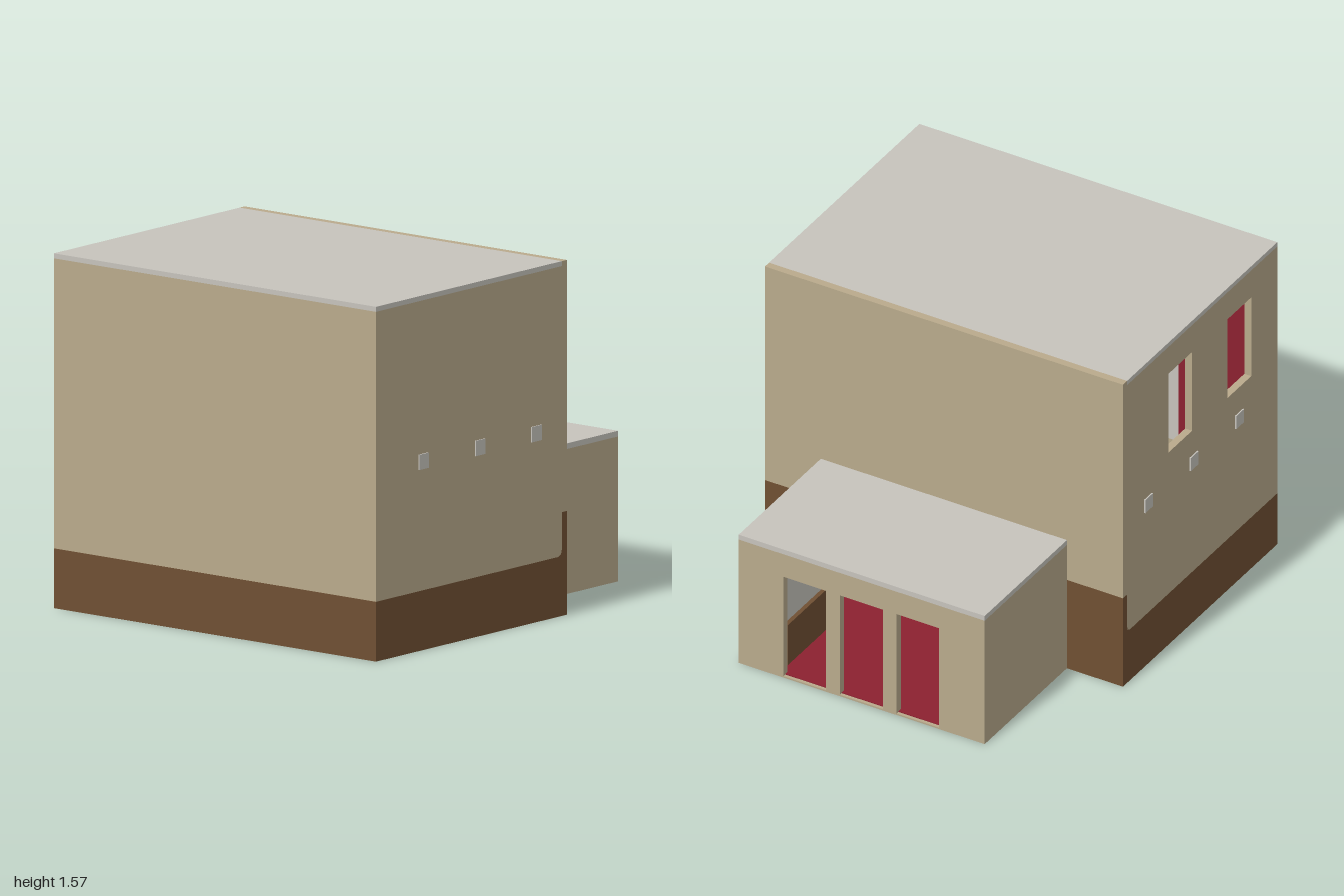
import * as THREE from 'three';

const mat = (name, color) => {
  const m = new THREE.MeshStandardMaterial({ color });
  m.name = name;
  return m;
};

export function createModel() {
  const root = new THREE.Group();
  root.name = 'theatreBuilding';
  const stucco = mat('tan stucco', 0xb9aa8c);
  const brown = mat('brown wood', 0x705033);
  const grey = mat('light grey', 0xc6c3bc);
  const red = mat('red fabric', 0x8c2130);
  const green = mat('green board', 0x3f7a48);

  const add = (name, geo, material) => {
    const m = new THREE.Mesh(geo, material);
    m.name = name;
    root.add(m);
    return m;
  };
  // box given by its two opposite corners
  const box = (name, material, x0, x1, y0, y1, z0, z1) => {
    const m = add(name, new THREE.BoxGeometry(x1 - x0, y1 - y0, z1 - z0), material);
    m.position.set((x0 + x1) / 2, (y0 + y1) / 2, (z0 + z1) / 2);
    return m;
  };
  const shape = pts => new THREE.Shape(pts.map(p => new THREE.Vector2(...p)));
  const W = 0.035, Z = 0.905, E = 0.27, R = 0.305;

  // front and back walls of the hall, with a painted brown base
  for (const s of [1, -1]) {
    const side = s > 0 ? 'front' : 'back';
    const z = s > 0 ? Z - W : -Z;
    const base = shape([[-1, 0], [E, 0], [E, 0.295], [0.264, 0.273], [0.245, 0.265], [-1, 0.265]]);
    const wall = shape([[-1, 0.265], [0.245, 0.265], [0.264, 0.273], [E, 0.295], [E, 1.55], [-1, 1.55]]);
    if (s < 0) {
      for (const x of [-0.28, -0.78]) {
        wall.holes.push(new THREE.Path([[x, 1], [x, 1.41], [x + 0.2, 1.41], [x + 0.2, 1]]
          .map(p => new THREE.Vector2(...p))));
      }
    }
    const opts = { depth: W, bevelEnabled: false };
    add(side + 'WallBase', new THREE.ExtrudeGeometry(base, opts), brown).position.z = z;
    add(side + 'Wall', new THREE.ExtrudeGeometry(wall, opts), stucco).position.z = z;
    // small square wall lights
    for (const x of [-0.677, -0.292, 0.093]) {
      box(side + 'WallLight', grey, x - 0.033, x + 0.033, 0.803, 0.871, s * Z - 0.006, s * Z + 0.006);
    }
  }

  // left and right walls, roof and floor of the hall
  box('leftWallBase', brown, -1, -1 + W, 0, 0.265, -Z + W, Z - W);
  box('leftWall', stucco, -1, -1 + W, 0.265, 1.55, -Z + W, Z - W);
  box('rightWallBase', brown, E, R, 0, 0.46, -Z, Z);
  box('rightWall', stucco, E, R, 0.46, 1.572, -Z, Z);
  box('hallRoof', grey, -1, E, 1.55, 1.572, -Z, Z);
  box('hallFloor', brown, -1 + W, E, 0, 0.012, -Z + W, Z - W);
  box('hallCarpet', red, -1 + W, E, 0.012, 0.018, -Z + W, Z - W);

  // stage screen with curtains on the inner left wall
  box('screen', grey, -0.965, -0.955, 0.4, 1.3, -0.48, 0.48);
  box('curtainTop', red, -0.965, -0.94, 1.28, 1.43, -0.8, 0.8);
  for (const s of [1, -1]) {
    box('curtain', red, -0.965, -0.94, 0.1, 1.28, s * 0.62 - 0.18, s * 0.62 + 0.18);
  }

  // entrance lobby: shell
  const H = 0.642, P = 0.622;
  box('lobbyRoof', grey, R, 1, H, 0.667, -P, P);
  box('lobbyFloor', stucco, R, 1, 0, 0.008, -P + W, P - W);
  box('lobbyCarpet', red, R, 0.985, 0.008, 0.012, -P + W, P - W);
  for (const s of [1, -1]) {
    box('lobbySideWall', stucco, R, 1, 0, H, s > 0 ? P - W : -P, s > 0 ? P : -P + W);
  }
  box('lobbyLintel', stucco, 1 - W, 1, 0.525, H, -P + W, P - W);
  for (const [a, b] of [[0.395, P - W], [0.11, 0.18], [-0.177, -0.107], [-P + W, -0.392]]) {
    box('lobbyPost', stucco, 1 - W, 1, 0, 0.525, a, b);
  }

  // hall doors, seen both from the lobby and from inside the hall
  for (const s of [1, -1]) {
    const c = s * 0.36, d = 0.12;
    box('doorLeaf', brown, E - 0.006, R + 0.006, 0.012, 0.465, c - d, c + d);
    box('doorHead', brown, E - 0.014, R + 0.014, 0.465, 0.48, c - d - 0.008, c + d + 0.008);
    for (const t of [1, -1]) {
      box('doorJamb', brown, E - 0.014, R + 0.014, 0.012, 0.465, c + t * d - 0.008, c + t * d + 0.008);
    }
  }
  box('doorHandle', grey, R + 0.006, R + 0.02, 0.204, 0.214, 0.27, 0.29);

  // notice board
  box('noticeBoard', green, R, R + 0.008, 0.2, 0.452, -0.072, 0.075);
  box('noticeBoardRail', stucco, R, R + 0.012, 0.452, 0.46, -0.076, 0.079);

  // snack stand along the front lobby wall
  box('snackCounter', brown, 0.5, 0.92, 0.012, 0.22, 0.42, P - W);
  box('snackCase', grey, 0.52, 0.9, 0.22, 0.47, 0.44, P - W);
  box('snackSign', red, 0.5, 0.92, 0.47, 0.55, 0.42, P - W);

  // wall panel opposite the stand, and ceiling lights
  box('wallPanel', red, 0.55, 0.92, 0.21, 0.5, -P + W, -P + W + 0.008);
  for (const z of [-0.25, 0.25]) {
    box('ceilingLight', grey, 0.5, 0.7, H - 0.012, H, z - 0.09, z + 0.09);
  }
  return root;
}
